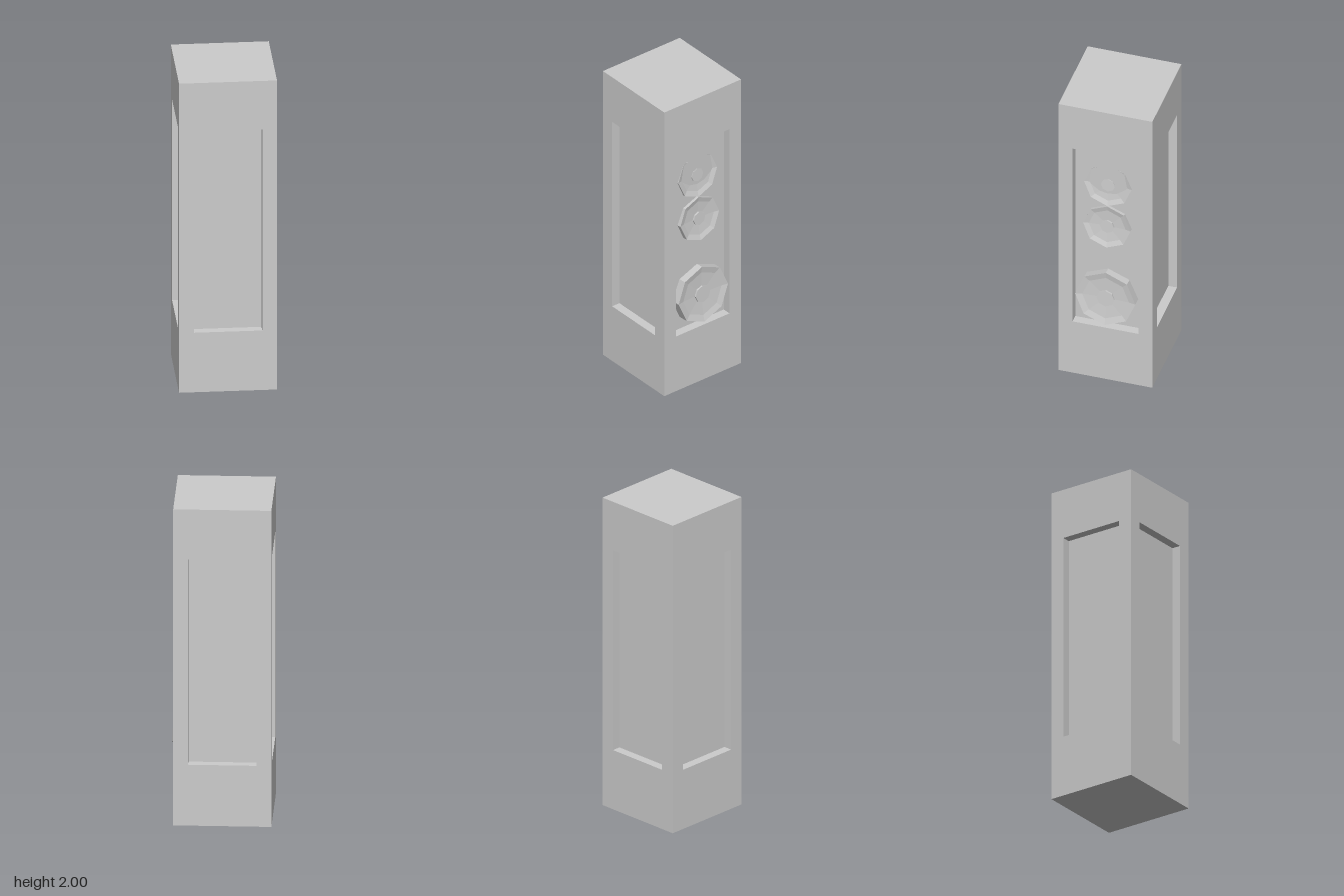
import * as THREE from 'three';

const SIZE = 0.583, HEIGHT = 2, RECESS = 0.055, CENTRE_X = -0.0085;
const material = new THREE.MeshStandardMaterial({ color: 0xcccccc, flatShading: true });

// Rectangle corners, counter-clockwise seen from the front
const rect = (w, y0, y1, z) => [[-w, y0, z], [w, y0, z], [w, y1, z], [-w, y1, z]];

// One pillar side: frame, recess walls and sunken panel, joined ring by ring
function sideGeometry() {
  const half = SIZE / 2;
  const rings = [
    rect(half, 0, HEIGHT, half),
    rect(0.204, 0.385, 1.685, half),
    rect(0.204, 0.385, 1.685, half - RECESS),
  ];
  const pos = [];
  const quad = (a, b, c, d) => pos.push(...a, ...b, ...c, ...a, ...c, ...d);
  for (let i = 0; i < 2; i++) {
    for (let j = 0; j < 4; j++) {
      const k = (j + 1) % 4;
      quad(rings[i][j], rings[i][k], rings[i + 1][k], rings[i + 1][j]);
    }
  }
  quad(...rings[2]);
  const g = new THREE.BufferGeometry();
  g.setAttribute('position', new THREE.Float32BufferAttribute(pos, 3));
  g.computeVertexNormals();
  return g;
}

// Eight-sided speaker: outer wall, shallow dish and raised centre cap, facing +x
function speaker(name, radius, y) {
  const r = radius / 0.187;
  const profile = [
    [0.187, -0.09], [0.187, 0], [0.145, -0.009], [0.055, -0.014], [0.055, -0.003], [0, -0.003],
  ].map(([x, h]) => new THREE.Vector2(x * r, h));
  const g = new THREE.LatheGeometry(profile, 8).rotateZ(-Math.PI / 2);
  const mesh = new THREE.Mesh(g, material);
  mesh.name = name;
  mesh.position.y = y;
  return mesh;
}

export function createModel() {
  const model = new THREE.Group();
  model.name = 'speakerPillar';

  // Pillar with four recessed sides
  const pillar = new THREE.Group();
  pillar.name = 'pillar';
  pillar.position.x = CENTRE_X;
  const side = sideGeometry();
  ['frontSide', 'leftSide', 'backSide', 'rightSide'].forEach((name, i) => {
    const mesh = new THREE.Mesh(side, material);
    mesh.name = name;
    mesh.rotation.y = i * Math.PI / 2;
    pillar.add(mesh);
  });

  // Top and bottom caps
  for (const [name, y, turn] of [['topFace', HEIGHT, -1], ['bottomFace', 0, 1]]) {
    const mesh = new THREE.Mesh(new THREE.PlaneGeometry(SIZE, SIZE), material);
    mesh.name = name;
    mesh.position.y = y;
    mesh.rotation.x = turn * Math.PI / 2;
    pillar.add(mesh);
  }

  // Column of speakers, leaning back so the top one sinks into the panel
  const speakers = new THREE.Group();
  speakers.name = 'speakers';
  speakers.position.set(0.289, 0.605, 0);
  speakers.rotation.z = 0.065;
  speakers.add(
    speaker('largeSpeaker', 0.187, 0),
    speaker('middleSpeaker', 0.147, 0.517),
    speaker('topSpeaker', 0.147, 0.815),
  );

  model.add(pillar, speakers);
  return model;
}
